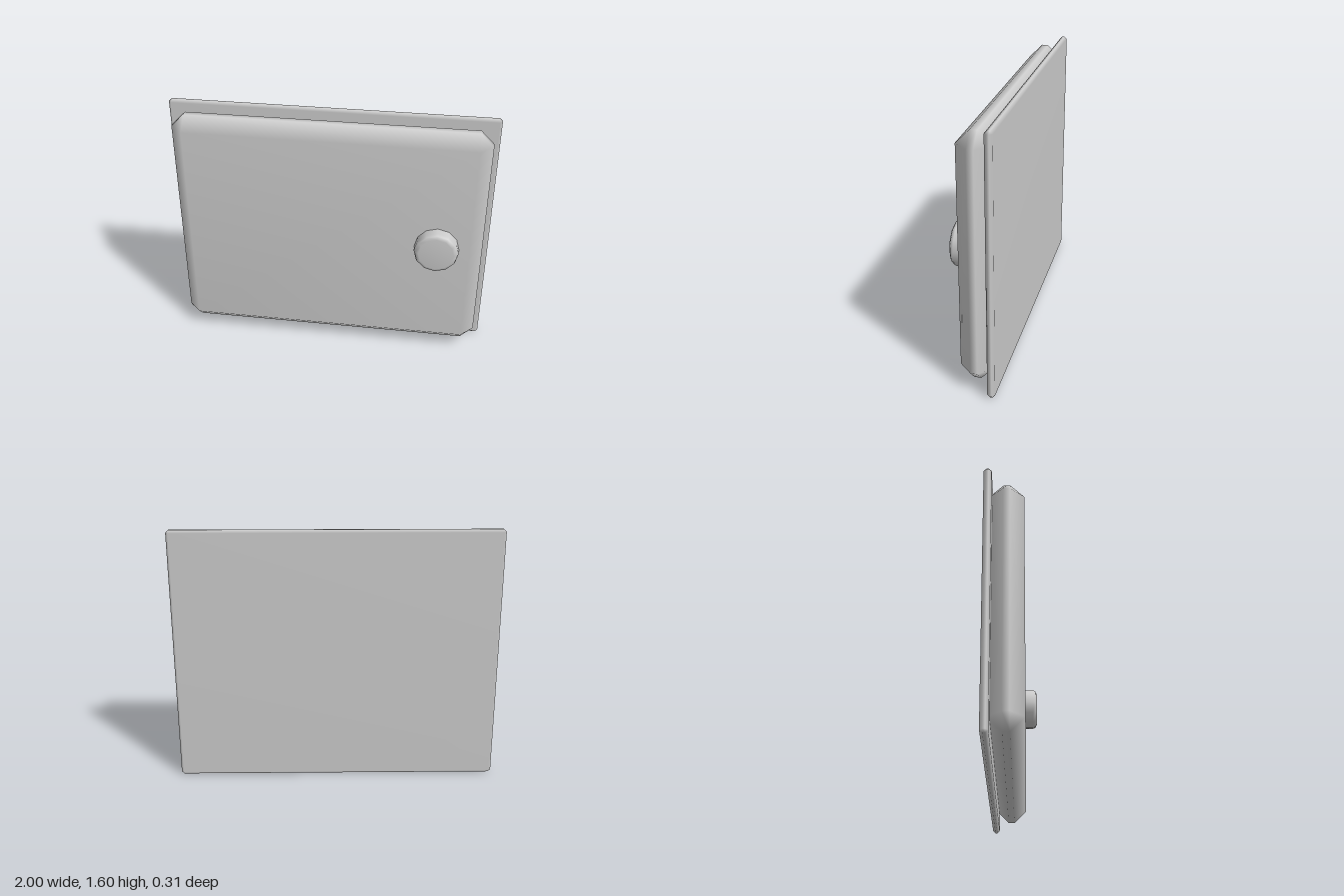
import * as THREE from 'three';
import { mergeVertices } from 'three/addons/utils/BufferGeometryUtils.js';
import { ConvexGeometry } from 'three/addons/geometries/ConvexGeometry.js';

// Box with a single bevel on every edge and softly shaded, area-weighted normals
function bevelledBox(width, height, depth, bevel) {
  const half = [width / 2, height / 2, depth / 2];
  const points = [];
  for (const sx of [-1, 1]) for (const sy of [-1, 1]) for (const sz of [-1, 1]) {
    const signs = [sx, sy, sz];
    for (let axis = 0; axis < 3; axis++) {
      // each corner becomes three points, one on each neighbouring face
      const p = half.map((h, i) => signs[i] * (i === axis ? h : h - bevel));
      points.push(new THREE.Vector3(...p));
    }
  }
  const geometry = new ConvexGeometry(points);
  geometry.deleteAttribute('normal');
  const merged = mergeVertices(geometry, 1e-5);
  merged.computeVertexNormals();
  return merged;
}

export function createModel() {
  const group = new THREE.Group();
  const grey = new THREE.MeshStandardMaterial({ color: 0xcccccc });
  grey.name = 'plain grey';

  const add = (name, geometry, x, y, z) => {
    const mesh = new THREE.Mesh(geometry, grey);
    mesh.name = name;
    mesh.position.set(x, y, z);
    group.add(mesh);
    return mesh;
  };

  // Thin plate behind the door
  add('backPlate', bevelledBox(2, 1.6, 0.046, 0.016), 0, 0.8, -0.132);

  // Thick door panel with wide bevels
  add('doorPanel', bevelledBox(1.92, 1.515, 0.2, 0.08), 0, 0.8025, -0.025);

  // Twelve-sided knob with a rounded rim
  const profile = [[0.137, -0.02], [0.137, 0.052], [0.129, 0.069], [0.108, 0.08], [0, 0.08]]
    .map(([r, h]) => new THREE.Vector2(r, h));
  const knob = add('knob', new THREE.LatheGeometry(profile, 12), 0.677, 0.803, 0.075);
  knob.rotation.x = Math.PI / 2;

  return group;
}
